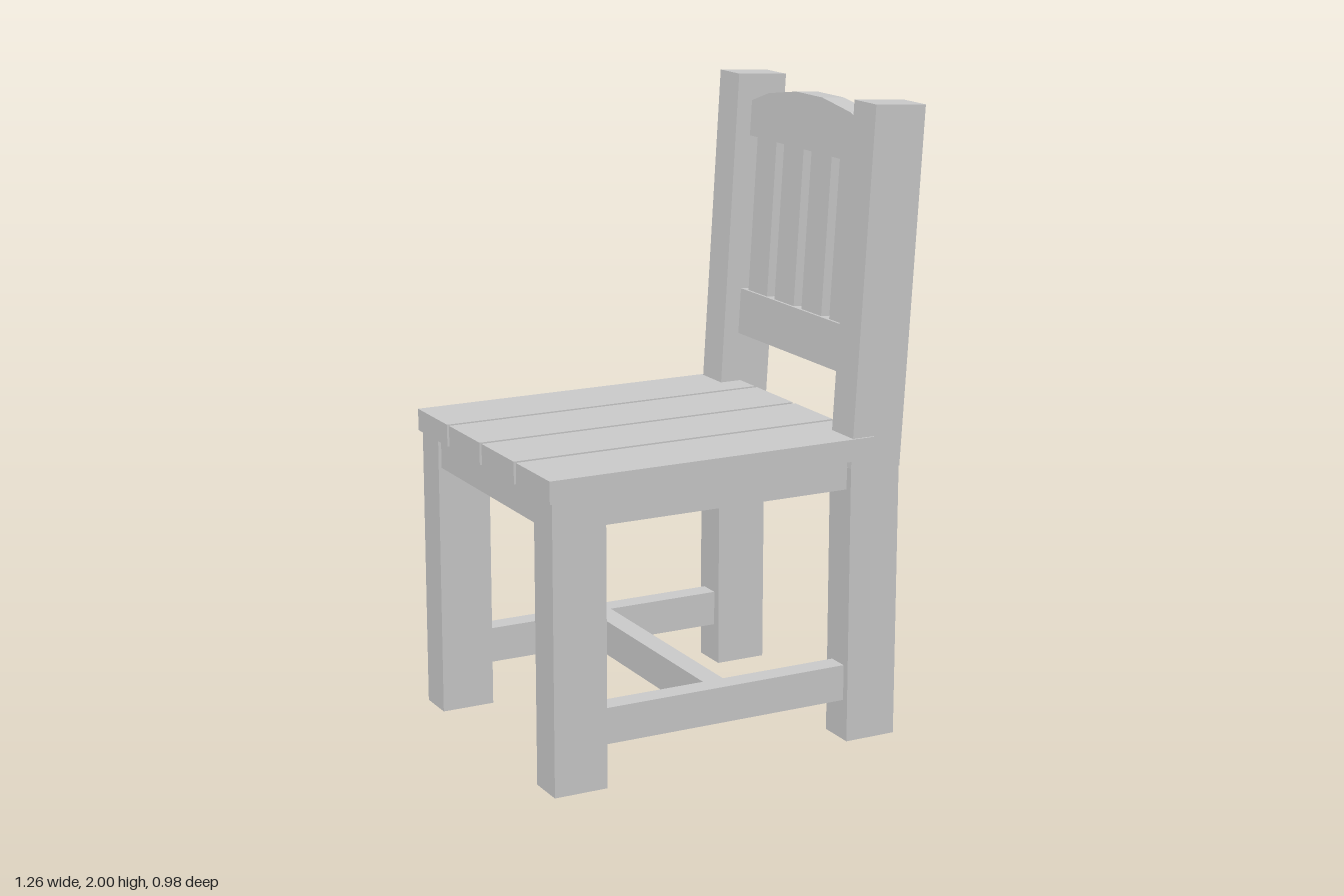
import * as THREE from 'three';

const wood = new THREE.MeshStandardMaterial({ color: 0xcccccc, flatShading: true });

// Box given by its [min, max] range on each axis
function beam(parent, name, [x0, x1], [y0, y1], [z0, z1]) {
  const mesh = new THREE.Mesh(new THREE.BoxGeometry(x1 - x0, y1 - y0, z1 - z0), wood);
  mesh.position.set((x0 + x1) / 2, (y0 + y1) / 2, (z0 + z1) / 2);
  mesh.name = name;
  parent.add(mesh);
  return mesh;
}

// Range of a given width around a centre
const around = (c, w) => [c - w / 2, c + w / 2];

export function createModel() {
  const chair = new THREE.Group();
  chair.name = 'chair';

  // Reclined backrest, pivoting on top of the back legs
  const back = new THREE.Group();
  back.name = 'backrest';
  back.position.set(0.474, 0.88, 0);
  back.rotation.z = -0.06;
  chair.add(back);

  // Legs, posts and side rails, mirrored in z
  for (const s of [1, -1]) {
    const legZ = around(s * 0.417, 0.124);
    const railZ = around(s * 0.42, 0.07);
    beam(chair, 'frontLeg', [-0.625, -0.45], [0, 0.91], legZ);
    beam(chair, 'backLeg', [0.387, 0.559], [0, 0.885], legZ);
    beam(back, 'backPost', [-0.0875, 0.0875], [0, 1.116], legZ);
    beam(chair, 'sideApron', [-0.45, 0.387], [0.815, 0.915], railZ);
    beam(chair, 'sideStretcher', [-0.45, 0.387], [0.13, 0.245], railZ);
  }

  // Cross pieces
  beam(chair, 'frontApron', [-0.615, -0.545], [0.815, 0.922], [-0.36, 0.36]);
  beam(chair, 'crossStretcher', [-0.075, -0.005], [0.13, 0.245], [-0.385, 0.385]);

  // Seat boards and backrest slats
  for (let i = 0; i < 4; i++) {
    const k = i - 1.5;
    beam(chair, 'seatBoard', [-0.635, 0.465], [0.91, 0.98], around(k * 0.248 - 0.002, 0.232));
    beam(back, 'backSlat', [-0.023, 0.025], [0.4, 0.93], around(k * 0.171 - 0.005, 0.122));
  }

  // Lower back rail
  beam(back, 'lowerBackRail', [-0.033, 0.042], [0.26, 0.41], [-0.356, 0.356]);

  // Upper back rail with a faceted arched top
  const arch = new THREE.Shape([
    [-0.356, 0.916], [0.356, 0.916], [0.356, 1.03], [0.25, 1.065],
    [0.08, 1.09], [-0.08, 1.09], [-0.25, 1.065], [-0.356, 1.03],
  ].map(([z, y]) => new THREE.Vector2(z, y)));
  const railGeo = new THREE.ExtrudeGeometry(arch, { depth: 0.079, bevelEnabled: false });
  railGeo.rotateY(-Math.PI / 2).translate(0.045, 0, 0);
  const upperRail = new THREE.Mesh(railGeo, wood);
  upperRail.name = 'upperBackRail';
  back.add(upperRail);

  return chair;
}
